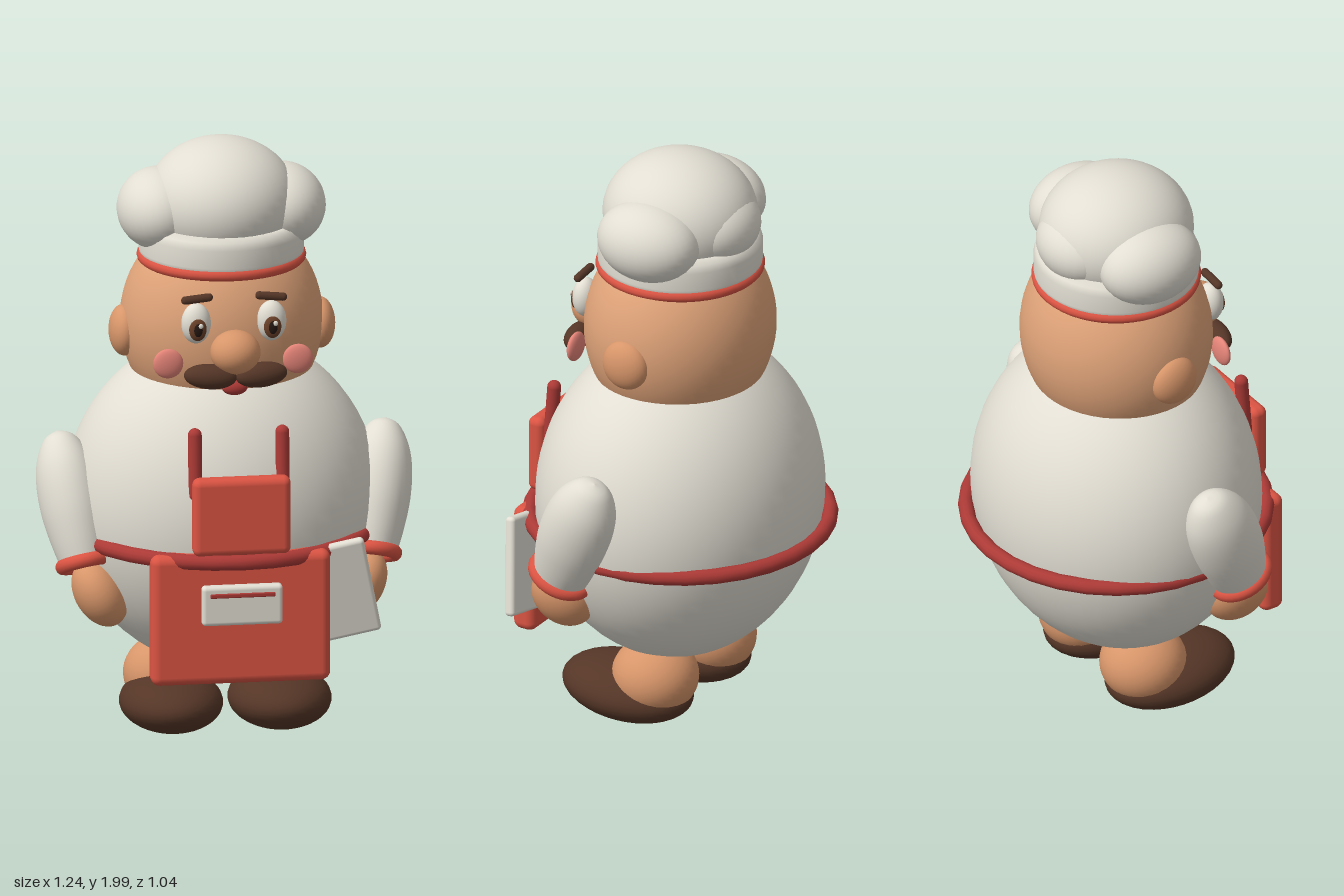
import * as THREE from 'three';
import { RoundedBoxGeometry } from 'three/addons/geometries/RoundedBoxGeometry.js';

const mat = (name, color) => {
  const m = new THREE.MeshStandardMaterial({ color });
  m.name = name;
  return m;
};

export function createModel() {
  const root = new THREE.Group();
  root.name = 'chef';

  const white = mat('cloth white', 0xe2ded3);
  const skin = mat('skin', 0xdea278);
  const warmSkin = mat('warm skin', 0xd8966a);
  const red = mat('apron red', 0xdb5443);
  const darkRed = mat('trim red', 0xac3a36);
  const brown = mat('dark brown', 0x553627);
  const pink = mat('cheek pink', 0xe58478);
  const iris = mat('iris brown', 0x6a4028);
  const black = mat('pupil black', 0x241712);

  const add = (name, geo, material, pos = [0, 0, 0], rot = [0, 0, 0], parent = root) => {
    const m = new THREE.Mesh(geo, material);
    m.name = name;
    m.position.set(...pos);
    m.rotation.set(...rot);
    parent.add(m);
    return m;
  };
  const ball = (name, material, pos, radii, rot, segs = 32) => {
    const m = add(name, new THREE.SphereGeometry(1, segs, Math.round(segs * 0.75)), material, pos, rot);
    m.scale.set(...radii);
    return m;
  };
  const box = (name, material, size, radius, pos, rot) =>
    add(name, new RoundedBoxGeometry(...size, 4, radius), material, pos, rot);

  // Body and head
  ball('body', white, [0, 0.77, 0], [0.52, 0.56, 0.46], undefined, 48);
  ball('head', skin, [0, 1.385, 0], [0.335, 0.355, 0.31], undefined, 48);

  // Hat: red trim, band and soft puffs
  add('hatTrim', new THREE.TorusGeometry(0.259, 0.02, 12, 48), red, [0, 1.605, 0], [Math.PI / 2, 0, 0]);
  const bandProfile = [[0, 1.6], [0.268, 1.6], [0.272, 1.63], [0.272, 1.69], [0.265, 1.715], [0.245, 1.73], [0, 1.73]]
    .map(([x, y]) => new THREE.Vector2(x, y));
  add('hatBand', new THREE.LatheGeometry(bandProfile, 48), white);
  ball('hatCrown', white, [0, 1.79, 0], [0.25, 0.21, 0.258], undefined, 40);
  ball('hatBackPuff', white, [0, 1.78, -0.15], [0.16, 0.12, 0.13]);

  // Face centre
  ball('nose', warmSkin, [0, 1.362, 0.325], [0.083, 0.073, 0.08]);
  ball('mouth', darkRed, [0, 1.236, 0.31], [0.042, 0.025, 0.022]);

  for (const s of [1, -1]) {
    ball('hatSidePuff', white, [s * 0.205, 1.768, -0.005], [0.14, 0.135, 0.18], [0, 0, s * -0.15]);
    ball('ear', warmSkin, [s * 0.325, 1.36, 0.01], [0.05, 0.085, 0.083]);

    // Eyes, brows, cheeks and moustache
    ball('eye', white, [s * 0.125, 1.455, 0.288], [0.049, 0.068, 0.042]);
    ball('iris', iris, [s * 0.124, 1.443, 0.322], [0.029, 0.039, 0.015], undefined, 20);
    ball('pupil', black, [s * 0.124, 1.443, 0.331], [0.016, 0.024, 0.009], undefined, 16);
    ball('eyeGlint', white, [s * 0.124 + 0.008, 1.458, 0.338], [0.008, 0.009, 0.005], undefined, 12);
    add('brow', new THREE.CapsuleGeometry(0.014, 0.078, 6, 12), brown,
      [s * 0.123, 1.54, 0.295], [0, 0, Math.PI / 2 - s * 0.1]);
    ball('cheek', pink, [s * 0.215, 1.315, 0.27], [0.05, 0.05, 0.018]);
    ball('moustache', brown, [s * 0.085, 1.285, 0.337], [0.087, 0.042, 0.04], [0, s * 0.12, s * 0.06]);

    // Sleeve with cuff, set along the arm's axis
    const arm = new THREE.Group();
    arm.name = 'arm';
    arm.position.set(s * 0.475, 0.615, 0.167);
    const axis = new THREE.Vector3(s * 0.07, 0.41, -0.175).normalize();
    arm.quaternion.setFromUnitVectors(new THREE.Vector3(0, 1, 0), axis);
    arm.scale.x = 0.86;
    root.add(arm);
    const curve = new THREE.SplineCurve(
      [[0.095, 0], [0.113, 0.08], [0.126, 0.18], [0.122, 0.28], [0.1, 0.36], [0.055, 0.425], [0, 0.445]]
        .map(([x, y]) => new THREE.Vector2(x, y)));
    const profile = curve.getPoints(24);
    profile[profile.length - 1].x = 0;
    add('sleeve', new THREE.LatheGeometry([new THREE.Vector2(0, 0), ...profile], 32), white, undefined, undefined, arm);
    add('cuff', new THREE.TorusGeometry(0.092, 0.024, 12, 32), red, [0, 0, 0], [Math.PI / 2, 0, 0], arm);
    ball('hand', warmSkin, [s * 0.43, 0.515, 0.185], [0.083, 0.12, 0.11], [0, 0, s * -0.5]);

    // Leg and shoe
    ball('leg', warmSkin, [s * 0.18, 0.175, -0.015], [0.143, 0.13, 0.145]);
    ball('shoe', brown, [s * 0.18, 0.108, 0.09], [0.17, 0.1, 0.232], [-0.06, 0, 0]);

    // Apron strap
    add('apronStrap', new THREE.CapsuleGeometry(0.023, 0.2, 6, 16), darkRed,
      [s * 0.145, 1.005, 0.405], [-0.08, 0, 0]);
  }

  // Apron: belt ring, skirt, bib and pocket
  add('belt', new THREE.TorusGeometry(0.494, 0.026, 12, 32), darkRed, [0, 0.69, 0], [Math.PI / 2, 0, 0]);
  box('apronSkirt', red, [0.595, 0.445, 0.085], 0.03, [0, 0.488, 0.428]);
  box('apronBib', red, [0.325, 0.265, 0.062], 0.025, [0, 0.843, 0.464]);
  box('pocket', white, [0.268, 0.135, 0.045], 0.014, [0, 0.543, 0.476]);
  box('pocketStripe', darkRed, [0.215, 0.015, 0.009], 0.004, [0, 0.58, 0.5]);

  // Towel tucked at the side of the apron
  box('towel', white, [0.2, 0.335, 0.036], 0.014, [0.347, 0.553, 0.385], [0.12, 0, 0.2]);

  return root;
}
